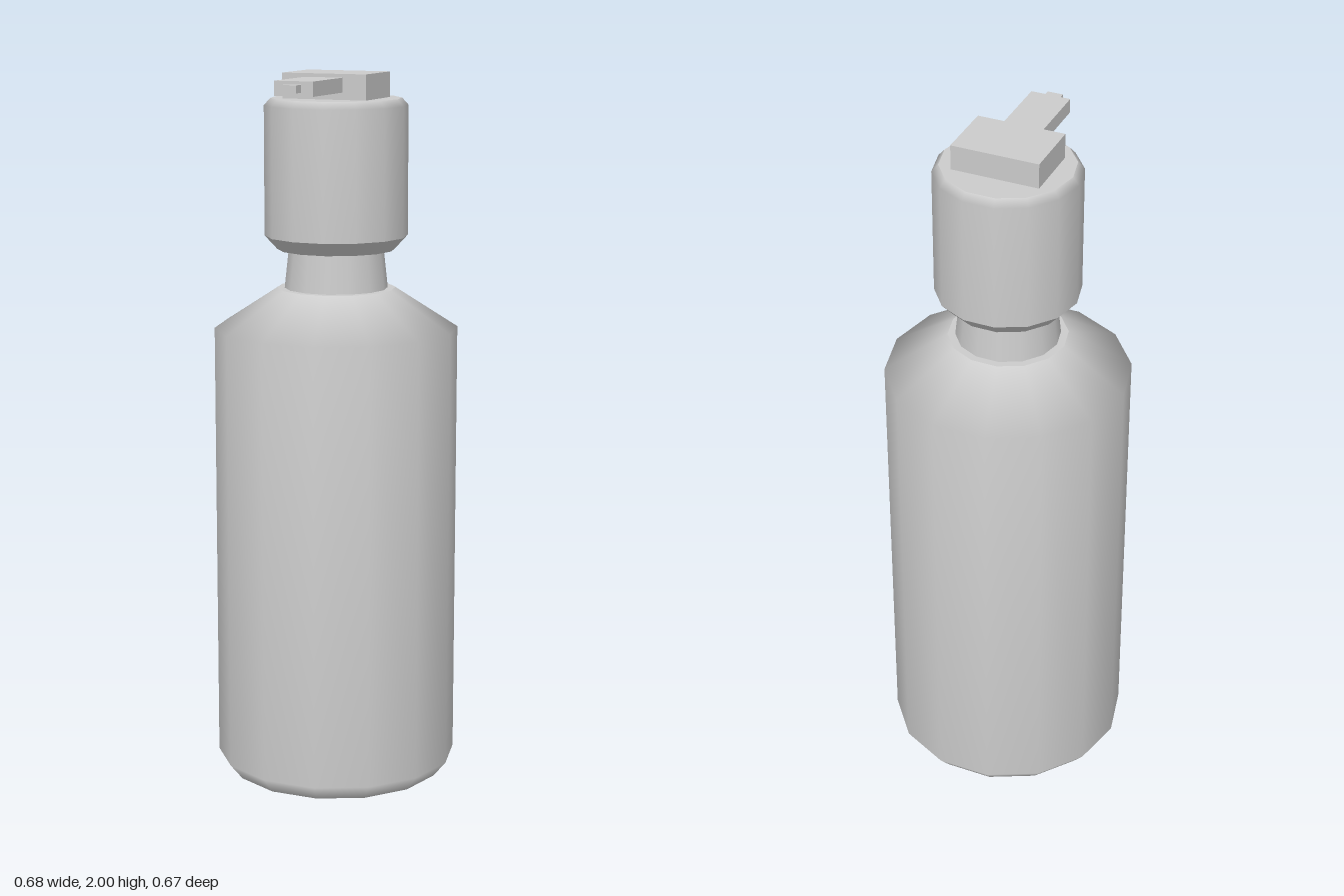
import * as THREE from 'three';

const SIDES = 14;

export function createModel() {
  const group = new THREE.Group();
  const plastic = new THREE.MeshStandardMaterial({ color: 0xcccccc });
  plastic.name = 'light grey plastic';

  const add = (name, geometry, parent = group) => {
    const mesh = new THREE.Mesh(geometry, plastic);
    mesh.name = name;
    parent.add(mesh);
    return mesh;
  };

  // Turned part from [radius, height] pairs; a corner points along +x
  const turned = (name, profile) => {
    const points = profile.map(([r, y]) => new THREE.Vector2(r, y));
    return add(name, new THREE.LatheGeometry(points, SIDES).rotateY(Math.PI / 2));
  };

  // Box from its limits, centred on x
  const block = (name, width, y0, y1, z0, z1) =>
    add(name, new THREE.BoxGeometry(width, y1 - y0, z1 - z0)
      .translate(0, (y0 + y1) / 2, (z0 + z1) / 2));

  // Bottle with a chamfered foot and sloping shoulder
  turned('bottleBase', [[0, 0], [0.305, 0]]);
  turned('bottleBody', [[0.305, 0], [0.342, 0.045], [0.342, 1.29], [0.166, 1.403]]);
  turned('shoulderTop', [[0.166, 1.403], [0.13, 1.403]]);
  turned('neck', [[0.145, 1.4], [0.132, 1.52]]);

  // Collar cap
  turned('capUnderside', [[0.12, 1.512], [0.165, 1.512]]);
  turned('capLowerBevel', [[0.165, 1.512], [0.2, 1.55]]);
  turned('capWall', [[0.2, 1.55], [0.2, 1.91], [0.182, 1.93]]);
  turned('capTop', [[0.182, 1.93], [0, 1.93]]);

  // Pump head, spout and tip
  block('pumpHead', 0.248, 1.93, 2.0, -0.088, 0.086);
  block('spout', 0.112, 1.95, 1.99, 0.086, 0.285);
  block('spoutTip', 0.044, 1.96, 1.981, 0.285, 0.317);

  return group;
}
